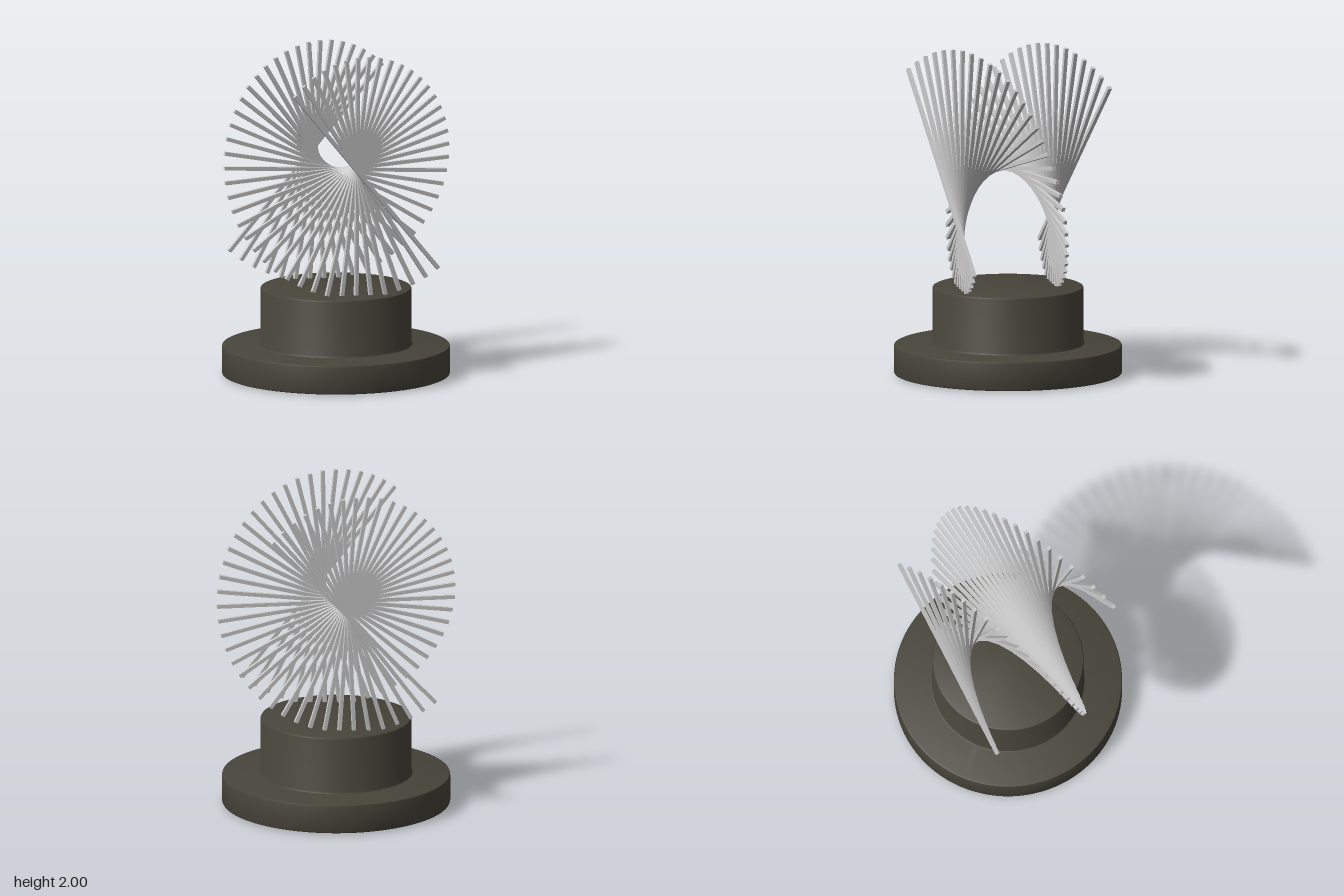
import * as THREE from 'three';
import { toCreasedNormals } from 'three/addons/utils/BufferGeometryUtils.js';

const BARS = 40;
const PITCH = 0.02275;                        // bar thickness and spacing along z
const STEP = THREE.MathUtils.degToRad(6.75);  // twist from one bar to the next
const START = THREE.MathUtils.degToRad(46.8); // angle of the rearmost bar

export function createModel() {
  const model = new THREE.Group();
  model.name = 'twistedBarSculpture';

  // Stepped round plinth with softened rims and a small fillet at the step
  const profile = [
    [0, 0], [0.62, 0], [0.68, 0.006], [0.687, 0.009], [0.69, 0.016],
    [0.69, 0.172], [0.687, 0.181], [0.678, 0.185],
    [0.472, 0.185], [0.462, 0.188], [0.457, 0.198],
    [0.457, 0.527], [0.453, 0.536], [0.444, 0.54], [0, 0.54],
  ].map(([r, y]) => new THREE.Vector2(r, y));
  const plinth = new THREE.Mesh(
    toCreasedNormals(new THREE.LatheGeometry(profile, 96), 0.6),
    new THREE.MeshStandardMaterial({ color: 0x47443a }),
  );
  plinth.name = 'plinth';
  model.add(plinth);

  // Square bars stacked front to back, each turned a little further about z
  const helix = new THREE.Group();
  helix.name = 'barHelix';
  helix.position.y = 1.26;
  const barGeometry = new THREE.BoxGeometry(1.48, PITCH, PITCH);
  const barMaterial = new THREE.MeshStandardMaterial({ color: 0xcccccc });
  for (let i = 0; i < BARS; i++) {
    const bar = new THREE.Mesh(barGeometry, barMaterial);
    bar.name = `bar${i + 1}`;
    bar.position.z = (i - (BARS - 1) / 2) * PITCH;
    bar.rotation.z = START + i * STEP;
    helix.add(bar);
  }
  model.add(helix);

  return model;
}
